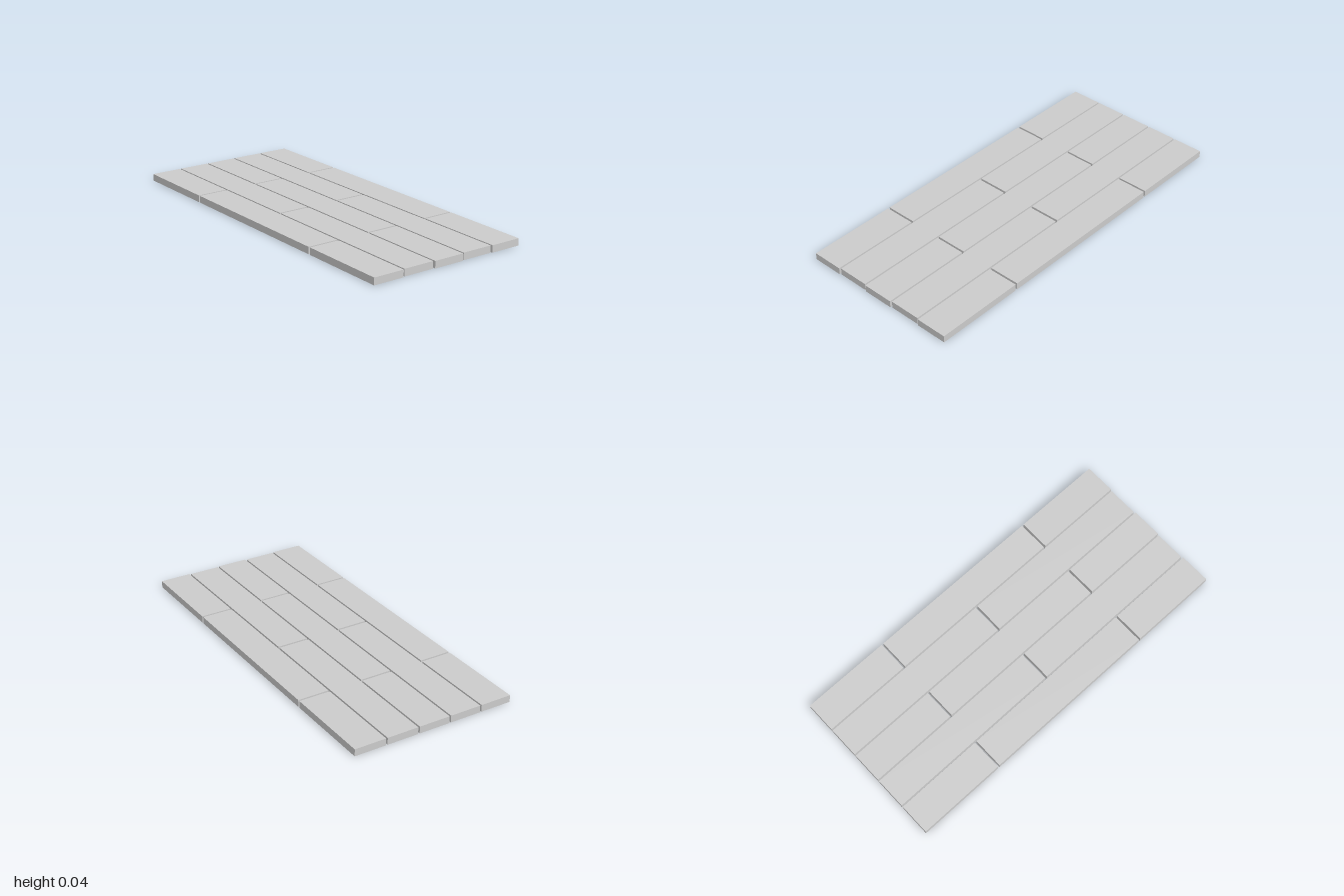
import * as THREE from 'three';

const PLANK_WIDTH = 0.172;
const PITCH = 0.181;
const HEIGHT = 0.038;

// Start and end of each plank along z, for the two alternating courses
const COURSES = [
  [[-1, -0.51], [-0.499, 0.495], [0.506, 1]],
  [[-1, -0.009], [0.003, 0.995]],
];

export function createModel() {
  const group = new THREE.Group();
  group.name = 'plankFloor';
  const material = new THREE.MeshStandardMaterial({ color: 0xcccccc, flatShading: true });

  // Five columns of boards with staggered end joints
  for (let column = 0; column < 5; column++) {
    const row = new THREE.Group();
    row.name = `plankColumn${column + 1}`;
    row.position.x = (column - 2) * PITCH;
    COURSES[column % 2].forEach(([start, end], i) => {
      const plank = new THREE.Mesh(new THREE.BoxGeometry(PLANK_WIDTH, HEIGHT, end - start), material);
      plank.name = `plank${i + 1}`;
      plank.position.set(0, HEIGHT / 2, (start + end) / 2);
      row.add(plank);
    });
    group.add(row);
  }
  return group;
}
